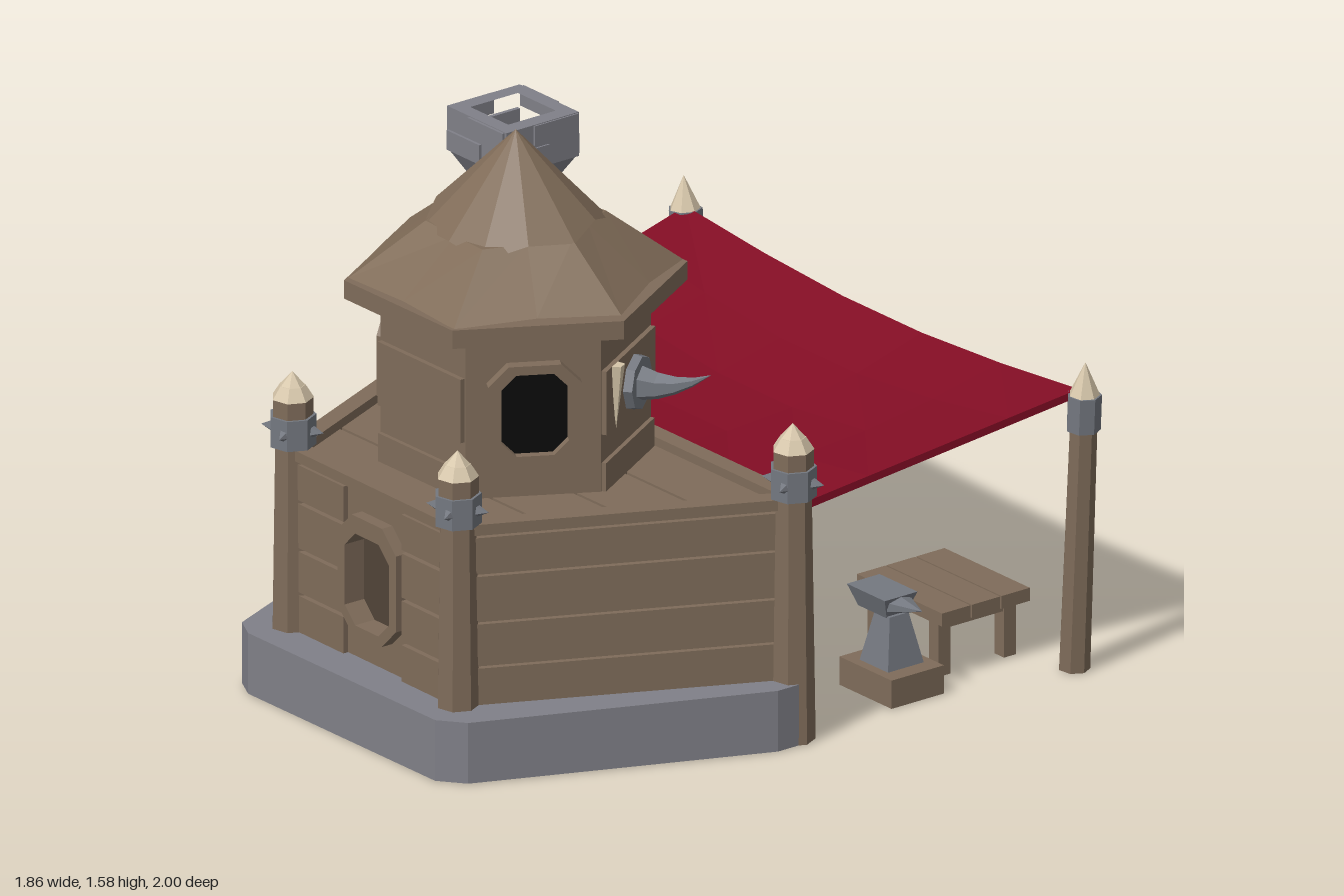
import * as THREE from 'three';

const mat = (name, color) => Object.assign(new THREE.MeshStandardMaterial({ color }), { name });

export function createModel() {
  const wood = mat('wood', 0x7f6c5a), roofWood = mat('roof wood', 0x806c58);
  const stone = mat('stone', 0x808088), iron = mat('iron', 0x747880);
  const ivory = mat('ivory', 0xd6c6aa), red = mat('red cloth', 0x820d24), black = mat('black', 0x0b0b0b);
  const model = new THREE.Group();
  model.name = 'smithy';

  // Facets a geometry and adds it as a named mesh
  const add = (parent, name, geo, material, x = 0, y = 0, z = 0) => {
    const flat = geo.index ? geo.toNonIndexed() : geo;
    flat.computeVertexNormals();
    const mesh = new THREE.Mesh(flat, material);
    mesh.name = name;
    mesh.position.set(x, y, z);
    parent.add(mesh);
    return mesh;
  };
  const group = (name, parent = model) => {
    const g = new THREE.Group();
    g.name = name;
    parent.add(g);
    return g;
  };
  // Box given by its limits
  const block = (parent, name, m, x0, x1, y0, y1, z0, z1) =>
    add(parent, name, new THREE.BoxGeometry(x1 - x0, y1 - y0, z1 - z0), m, (x0 + x1) / 2, (y0 + y1) / 2, (z0 + z1) / 2);
  const warp = (geo, rule) => {
    const p = geo.attributes.position, v = new THREE.Vector3();
    for (let i = 0; i < p.count; i++) {
      rule(v.fromBufferAttribute(p, i));
      p.setXYZ(i, v.x, v.y, v.z);
    }
    return geo;
  };
  const shapeOf = (pts, hole) => {
    const s = new THREE.Shape(pts.map(p => new THREE.Vector2(p[0], p[1])));
    if (hole) s.holes.push(new THREE.Path(hole.map(p => new THREE.Vector2(p[0], p[1]))));
    return s;
  };
  const slab = (pts, depth, hole) => new THREE.ExtrudeGeometry(shapeOf(pts, hole), { depth, bevelEnabled: false });
  // Upright prism from a floor plan of [x, z] points
  const prism = (plan, y0, y1, hole) => {
    const flip = a => a && a.map(([x, z]) => [x, -z]);
    return slab(flip(plan), y1 - y0, flip(hole)).rotateX(-Math.PI / 2).translate(0, y0, 0);
  };
  const rect = (x0, x1, y0, y1) => [[x0, y0], [x1, y0], [x1, y1], [x0, y1]];
  const oct = (x0, x1, y0, y1, c) => [[x0 + c, y0], [x1 - c, y0], [x1, y0 + c], [x1, y1 - c],
    [x1 - c, y1], [x0 + c, y1], [x0, y1 - c], [x0, y0 + c]];

  // Stone footing, open on the doorway side
  add(model, 'stoneFooting', prism([[-0.03, 0.89], [-0.1, 0.89], [-0.88, 0.56], [-0.935, 0.49], [-0.935, -0.3],
    [-0.9, -0.37], [-0.09, -0.71], [-0.03, -0.69], [-0.03, -0.59], [-0.8, -0.26], [-0.81, 0.43], [-0.03, 0.81]], 0, 0.172), stone);

  // Plank walls: local x runs along the wall, local z points out
  const corners = [[-0.82, 0.44], [0, 0.84], [0, -0.62], [-0.81, -0.27]];
  const rows = [[0, 0.275], [0.285, 0.4], [0.41, 0.535], [0.545, 0.645]];
  const wall = (name, i, outline, hole, gap) => {
    const a = corners[i], b = corners[(i + 1) % 4], dx = b[0] - a[0], dz = b[1] - a[1], len = Math.hypot(dx, dz);
    const g = group(name);
    g.position.set(a[0], 0, a[1]);
    g.rotation.y = Math.atan2(-dz, dx);
    add(g, 'wallPanel', slab(outline || rect(0, len, 0, 0.67), 0.03, hole), wood, 0, 0, -0.03);
    for (const [y0, y1] of rows) {
      const split = gap && y0 < gap[3] && y1 > gap[2];
      for (const [x0, x1] of split ? [[0, gap[0]], [gap[1], len]] : [[0, len]]) block(g, 'wallPlank', wood, x0, x1, y0, y1, 0, 0.016);
    }
    block(g, 'topRail', wood, 0, len, 0.655, 0.685, -0.03, 0.022);
    return g;
  };
  wall('frontWall', 0);
  wall('backWall', 2);
  wall('doorWall', 1, [[0, 0], [0.46, 0], [0.46, 0.54], [0.51, 0.595], [1, 0.595], [1.05, 0.54], [1.05, 0],
    [1.46, 0], [1.46, 0.67], [0, 0.67]], null, [0.46, 1.05, 0, 0.59]);
  const hole = oct(0.27, 0.46, 0.28, 0.54, 0.045);
  const sideWall = wall('windowWall', 3, null, hole, [0.24, 0.49, 0.255, 0.59]);
  add(sideWall, 'windowFrame', slab(oct(0.24, 0.49, 0.255, 0.59, 0.06), 0.035, hole), wood);

  // Deck boards between the slanted walls
  const front = x => 0.82 + x * 0.48, back = x => -0.6 - x * 0.42;
  const strip = (x0, x1) => [[x0, front(x0)], [x1, front(x1)], [x1, back(x1)], [x0, back(x0)]];
  add(model, 'deck', prism(strip(-0.8, -0.01), 0.625, 0.645), wood);
  for (let i = 0; i < 4; i++) add(model, 'deckBoard', prism(strip(-0.79 + i * 0.195, -0.605 + i * 0.195), 0.645, 0.66), wood);

  // Corner posts with iron bands, studs and ivory tips
  const cyl = (rt, rb, h, n = 7) => new THREE.CylinderGeometry(rt, rb, h, n);
  for (const [x, z] of [[-0.82, 0.44], [-0.01, 0.84], [-0.005, -0.62], [-0.81, -0.27]]) {
    const p = group('cornerPost');
    p.position.set(x, 0, z);
    add(p, 'postShaft', cyl(0.05, 0.06, 0.69), wood, 0, 0.345);
    add(p, 'postBand', cyl(0.064, 0.064, 0.085), iron, 0, 0.73);
    add(p, 'postCap', cyl(0.056, 0.056, 0.05), wood, 0, 0.795);
    add(p, 'postCollar', cyl(0.035, 0.057, 0.035), ivory, 0, 0.8375);
    add(p, 'postTip', new THREE.ConeGeometry(0.035, 0.04, 7), ivory, 0, 0.873);
    for (let i = 0; i < 4; i++) {
      const a = 0.5 + i * Math.PI / 2;
      add(p, 'stud', new THREE.ConeGeometry(0.018, 0.035, 5).rotateX(Math.PI / 2).translate(0, 0, 0.072).rotateY(a), iron, 0, 0.73);
    }
  }

  // Leaning poles that hold the awning
  for (const [z, lean] of [[0.91, 0.055], [-0.69, -0.055]]) {
    const p = group('awningPole');
    p.position.set(0.88, 0, z);
    p.rotation.x = lean;
    add(p, 'poleShaft', cyl(0.038, 0.043, 0.69), wood, 0, 0.345);
    add(p, 'poleBand', cyl(0.047, 0.047, 0.1), iron, 0, 0.74);
    add(p, 'poleTip', new THREE.ConeGeometry(0.043, 0.095, 7), ivory, 0, 0.835);
  }

  // Sagging awning
  add(model, 'awning', warp(new THREE.BoxGeometry(1, 0.022, 1, 4, 1, 5), p => {
    const u = p.x + 0.5, v = p.z + 0.5;
    p.x = 0.025 + 0.855 * u;
    p.z = THREE.MathUtils.lerp(-0.62 - 0.11 * u, 0.82 + 0.11 * u, v);
    p.y += 0.635 + 0.15 * u - Math.sin(Math.PI * v) * (0.02 + 0.03 * u + 0.05 * Math.sin(Math.PI * u));
  }), red);

  // Six-sided tower
  const tower = group('tower');
  tower.position.set(-0.345, 0, 0.09);
  add(tower, 'towerWall', cyl(0.36, 0.36, 0.5, 6), wood, 0, 0.89);
  add(tower, 'eaveRing', cyl(0.457, 0.457, 0.052, 6), wood, 0, 1.148);
  const face = (name, deg) => {
    const g = group(name, tower);
    g.rotation.y = deg * Math.PI / 180;
    return g;
  };
  for (const [deg, pane] of [[90, black], [330, black], [210, wood]]) {
    const g = face('towerWindow', deg), inner = oct(-0.09, 0.09, 0.785, 1.015, 0.04);
    add(g, 'windowFrame', slab(oct(-0.125, 0.125, 0.76, 1.04, 0.055), 0.035, inner), wood, 0, 0, 0.31);
    add(g, 'windowPane', slab(inner, 0.008), pane, 0, 0, 0.312);
  }
  for (const deg of [30, 150, 270]) {
    const g = face('towerBoards', deg);
    block(g, 'board', wood, -0.175, 0.175, 0.82, 1.0, 0.305, 0.326);
    block(g, 'lowBoard', wood, -0.175, 0.175, 0.65, 0.74, 0.305, 0.324);
  }
  for (const [deg, side] of [[30, -1], [150, 1]]) {
    const g = face('towerHorn', deg);
    add(g, 'hornPlate', cyl(0.074, 0.08, 0.03, 8).rotateX(Math.PI / 2), iron, 0.02 * -side, 0.9, 0.335);
    add(g, 'horn', warp(new THREE.ConeGeometry(0.05, 0.2, 6, 4).rotateX(Math.PI / 2).translate(0, 0, 0.1),
      p => { p.y += 1.9 * p.z * p.z - 0.13 * p.z; }), iron, 0.02 * -side, 0.9, 0.345);
    add(g, 'tooth', new THREE.ConeGeometry(0.024, 0.18, 5).rotateX(Math.PI), ivory, 0.117 * side, 0.91, 0.33);
  }

  // Two-tier ragged roof
  const ragged = (geo, base, amp) => warp(geo, p => {
    if (p.y > 0 && base < 0.3) return;
    const a = Math.atan2(p.x, p.z), r = Math.hypot(p.x, p.z);
    if (r < 0.01) return;
    const f = 1 - (base > 0.3 ? 0.075 : 0.05) * (1 - Math.cos(6 * a));
    p.x *= f;
    p.z *= f;
    p.y += amp * Math.sin(2 * a + 1) + (p.y < 0 ? amp * 0.5 * (1 - Math.cos(6 * a)) : 0);
  });
  add(tower, 'lowerRoof', ragged(cyl(0.24, 0.445, 0.15, 12), 0.445, 0.008), roofWood, 0, 1.255);
  add(tower, 'upperRoof', ragged(new THREE.ConeGeometry(0.25, 0.265, 12), 0.25, 0.022), roofWood, 0, 1.4425);

  // Forge: body, arched mouth, sloped hood and coal tray
  const forge = group('forge');
  block(forge, 'forgeBody', stone, 0.145, 0.56, 0, 0.39, -1, -0.7);
  add(forge, 'forgeMouth', slab([[0.145, 0], [0.185, 0], [0.185, 0.23], [0.25, 0.33], [0.465, 0.33], [0.525, 0.23], [0.525, 0],
    [0.56, 0], [0.56, 0.39], [0.145, 0.39]], 0.15), stone, 0, 0, -0.7);
  add(forge, 'forgeHood', warp(new THREE.BoxGeometry(1, 1, 1), p => {
    const t = p.y + 0.5;
    p.x = 0.3525 + p.x * (0.415 - 0.15 * t);
    p.z = p.z < 0 ? -1 + 0.105 * t : -0.63 - 0.07 * t;
    p.y = 0.39 + 0.145 * t;
  }), stone);
  const tray = (i) => [[0.145 + i, -0.705], [0.145 + i, -0.34], [0.24 + i * 0.6, -0.235 - i], [0.465 - i * 0.6, -0.235 - i],
    [0.56 - i, -0.34], [0.56 - i, -0.705]];
  add(forge, 'coalTray', prism(tray(0), 0, 0.09, tray(0.04).map(([x, z]) => [x, Math.max(z, -0.7)])), stone);
  add(forge, 'coals', prism(tray(0.036), 0.012, 0.07), black);

  // Brick chimney
  const chimney = group('chimney');
  chimney.position.set(0.355, 0, -0.8);
  block(chimney, 'chimneyCore', stone, -0.08, 0.08, 0.5, 1.03, -0.08, 0.08);
  for (let i = 0; i < 6; i++) {
    const y0 = 0.535 + i * 0.08, y1 = y0 + 0.072, s = i % 2 ? 0.03 : -0.03, e = 0.088 + 0.006 * (i % 3 === 1);
    for (const [x0, x1, o] of [[-e, s - 0.004, 0], [s + 0.004, e, 0.004]]) {
      block(chimney, 'brick', stone, x0, x1, y0, y1, -e - o, -s - 0.004);
      block(chimney, 'brick', stone, x0, x1, y0, y1, -s + 0.004, e + o);
    }
  }
  add(chimney, 'chimneyFlare', cyl(0.172, 0.125, 0.06, 4).rotateY(Math.PI / 4), stone, 0, 1.03);
  add(chimney, 'chimneyCap', prism(rect(-0.122, 0.122, -0.125, 0.125), 1.055, 1.18, rect(-0.08, 0.08, -0.08, 0.08)), stone);
  for (let i = 0; i < 4; i++) {
    const b = group('capBricks', chimney);
    b.rotation.y = i * Math.PI / 2;
    block(b, 'capBrick', stone, -0.118, 0.02, 1.06, 1.115, 0.118, 0.13);
    block(b, 'capBrick', stone, -0.03, 0.118, 1.123, 1.178, 0.118, 0.13);
  }

  // Barrel with two hoops
  const barrel = group('barrel');
  barrel.position.set(0.735, 0, -0.495);
  const lathe = pts => new THREE.LatheGeometry(pts.map(p => new THREE.Vector2(p[0], p[1])), 10);
  add(barrel, 'staves', lathe([[0, 0], [0.105, 0], [0.138, 0.11], [0.13, 0.21], [0.11, 0.21], [0.11, 0.1], [0, 0.1]]), wood);
  add(barrel, 'lowHoop', lathe([[0.11, 0.05], [0.128, 0.05], [0.136, 0.08], [0.12, 0.08]]), iron);
  add(barrel, 'highHoop', lathe([[0.12, 0.145], [0.144, 0.145], [0.141, 0.175], [0.12, 0.175]]), iron);

  // Work table
  const table = group('table');
  for (let i = 0; i < 3; i++) block(table, 'tableBoard', wood, 0.54 + i * 0.1, 0.635 + i * 0.1, 0.16, 0.197, 0.42, 0.78);
  for (const z of [0.46, 0.72]) {
    block(table, 'tableBrace', wood, 0.56, 0.82, 0.13, 0.16, z - 0.015, z + 0.015);
    for (const x of [0.58, 0.8]) block(table, 'tableLeg', wood, x - 0.02, x + 0.02, 0, 0.16, z - 0.02, z + 0.02);
  }

  // Anvil on a wooden block
  const anvil = group('anvil');
  anvil.position.set(0.41, 0, 0.73);
  block(anvil, 'anvilBlock', wood, -0.088, 0.088, 0, 0.08, -0.11, 0.11);
  add(anvil, 'anvilFoot', cyl(0.045, 0.085, 0.14, 4).rotateY(Math.PI / 4), iron, 0, 0.15);
  add(anvil, 'anvilTop', warp(new THREE.BoxGeometry(0.11, 0.06, 0.16), p => { if (p.y < 0) { p.x *= 0.6; p.z *= 0.75; } }), iron, 0, 0.245, -0.04);
  add(anvil, 'anvilHorn', warp(new THREE.ConeGeometry(0.045, 0.1, 6).rotateX(Math.PI / 2), p => { p.y = p.y * 0.55 + 0.2 * Math.max(p.z, 0); }), iron, 0, 0.25, 0.08);

  return model;
}
